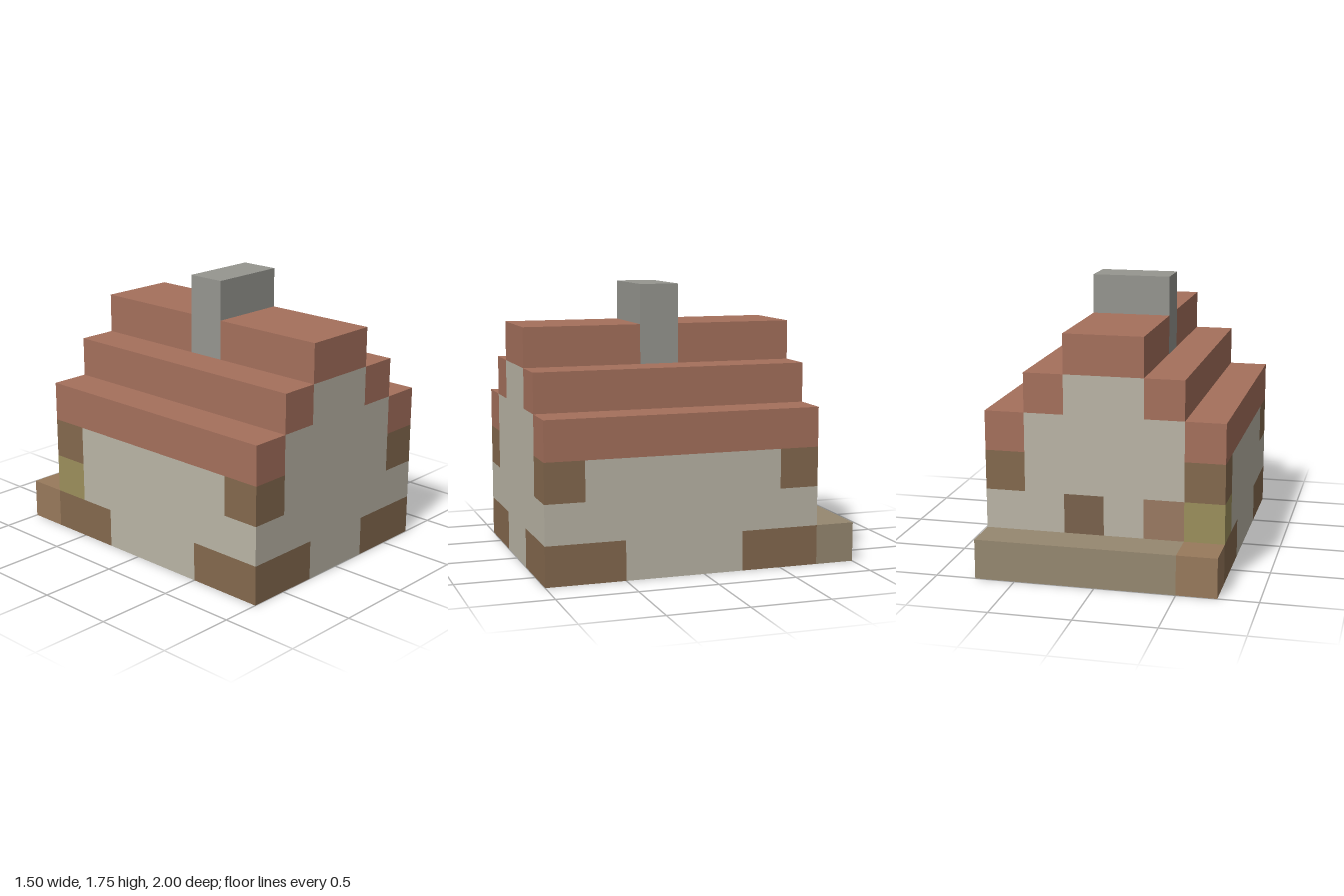
import * as THREE from 'three';
import { mergeGeometries } from 'three/addons/utils/BufferGeometryUtils.js';

const S = 0.25; // edge of one block
const COLORS = {
  wall: 0xbab5a6, timberBeam: 0x84694e, roof: 0xa5705c, chimney: 0x969690,
  floor: 0x74644f, backStep: 0x968870, backStepEnd: 0x987a5c,
  door: 0x7a624c, crate: 0x9a7a62, hayBale: 0x9c8f5c,
};

// Which part fills block (i, j, k); i runs along x, j up, k from back to front
function partAt(i, j, k) {
  if (i < 0 || i > 5 || j < 0 || j > 6 || k < 0 || k > 7) return null;
  const d = Math.min(i, 5 - i); // blocks in from the side wall
  if (k === 0) return j > 0 ? null : i === 0 ? 'backStepEnd' : 'backStep';
  if (d === 2 && k === 4 && j > 0) return 'chimney'; // column from floor to top
  if (j - 3 === d) return 'roof';
  if (j - 3 > d) return null;

  const gable = k === 1 || k === 7;
  if (!gable && d > 0) return j === 0 ? 'floor' : null; // hollow room
  if (k === 1 && j === 1) { // items along the back wall
    if (i === 0) return 'hayBale';
    if (i === 1) return 'crate';
    if (i === 3) return 'door';
  }
  // timber at the corners
  if (j === 0 && (gable ? d < 2 : k === 2 || k === 6)) return 'timberBeam';
  if (j === 2 && gable && d === 0) return 'timberBeam';
  return 'wall';
}

// One square per block side: direction and rotation
const SIDES = [
  [[1, 0, 0], 'rotateY', Math.PI / 2], [[-1, 0, 0], 'rotateY', -Math.PI / 2],
  [[0, 1, 0], 'rotateX', -Math.PI / 2], [[0, -1, 0], 'rotateX', Math.PI / 2],
  [[0, 0, 1], 'rotateY', 0], [[0, 0, -1], 'rotateY', Math.PI],
];

export function createModel() {
  const group = new THREE.Group();
  group.name = 'blockHouse';
  const faces = {};

  // Keep only the exposed block sides; the underside stays open
  for (let i = 0; i < 6; i++) for (let j = 0; j < 7; j++) for (let k = 0; k < 8; k++) {
    const part = partAt(i, j, k);
    if (!part) continue;
    for (const [[dx, dy, dz], turn, angle] of SIDES) {
      if (partAt(i + dx, j + dy, k + dz) || j + dy < 0) continue;
      const face = new THREE.PlaneGeometry(S, S)[turn](angle);
      face.translate((i - 2.5 + dx / 2) * S, (j + 0.5 + dy / 2) * S, (k - 3.5 + dz / 2) * S);
      (faces[part] ??= []).push(face);
    }
  }

  for (const [part, list] of Object.entries(faces)) {
    const material = new THREE.MeshStandardMaterial({ color: COLORS[part], side: THREE.DoubleSide });
    const mesh = new THREE.Mesh(mergeGeometries(list), material);
    mesh.name = part;
    group.add(mesh);
  }
  return group;
}
